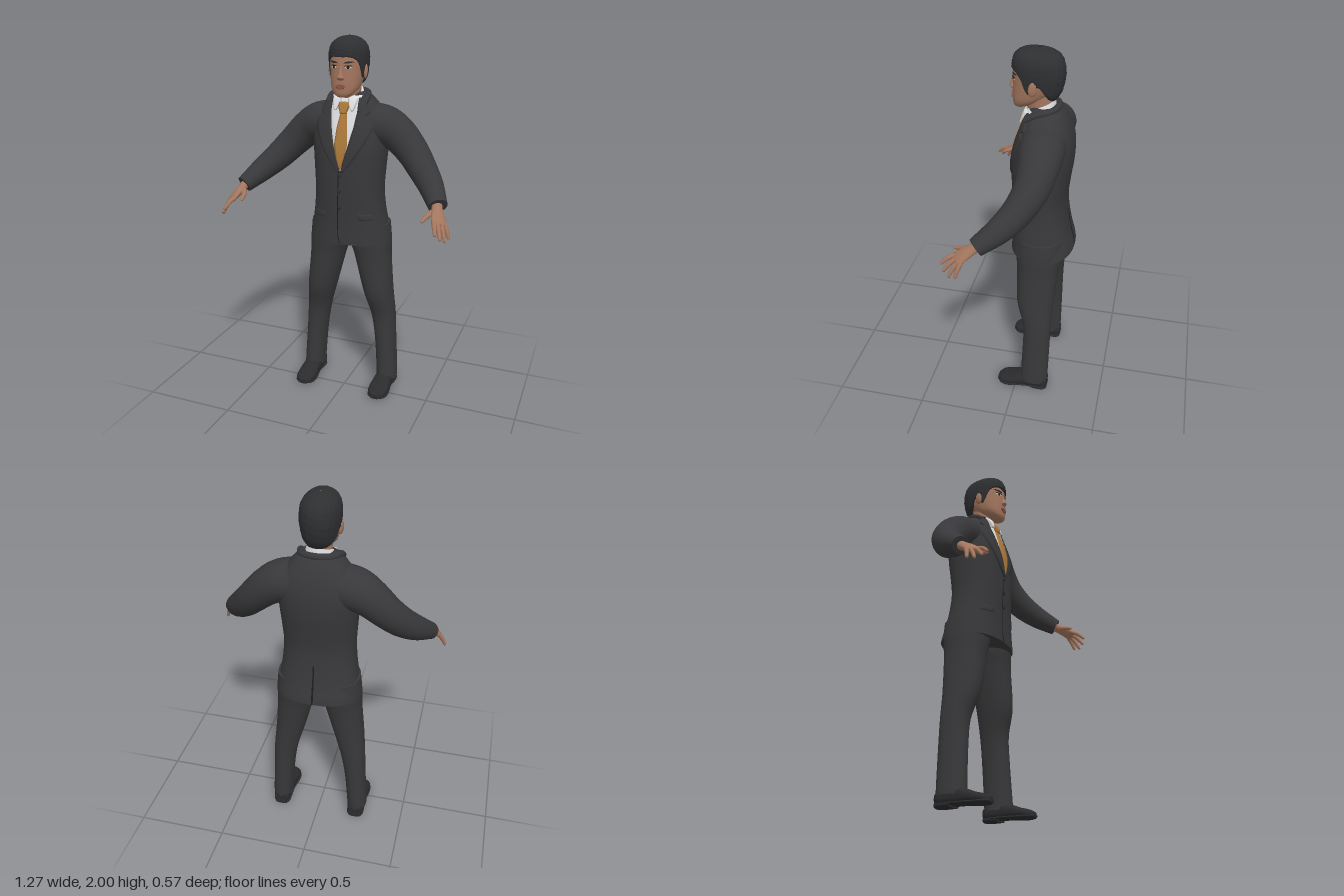
import * as THREE from 'three';

const V = (x, y, z) => new THREE.Vector3(x, y, z);
const mat = (name, color) => new THREE.MeshStandardMaterial({ name, color, side: THREE.DoubleSide });

// Smooth interpolation of table rows at key value t
function spline(rows, keys, t) {
  const n = rows.length;
  let i = 0;
  while (i < n - 2 && t > keys[i + 1]) i++;
  const h = keys[i + 1] - keys[i], f = Math.min(1, Math.max(0, (t - keys[i]) / h));
  const slope = (k, c) => {
    const a = Math.max(0, k - 1), b = Math.min(n - 1, k + 1);
    return (rows[b][c] - rows[a][c]) / (keys[b] - keys[a]);
  };
  const f2 = f * f, f3 = f2 * f;
  return rows[i].map((p, c) => (2 * f3 - 3 * f2 + 1) * p + (f3 - 2 * f2 + f) * h * slope(i, c)
    + (3 * f2 - 2 * f3) * rows[i + 1][c] + (f3 - f2) * h * slope(i + 1, c));
}

// Surface from a grid of points; rows i, columns j
function grid(fn, n, m, wrap, flip) {
  const pos = [], idx = [];
  for (let i = 0; i < n; i++) for (let j = 0; j < m; j++) pos.push(...fn(i, j));
  for (let i = 0; i < n - 1; i++) for (let j = 0; j < (wrap ? m : m - 1); j++) {
    const k = (j + 1) % m, a = i * m + j, b = i * m + k, c = b + m, d = a + m;
    flip ? idx.push(a, c, b, a, d, c) : idx.push(a, b, c, a, c, d);
  }
  const g = new THREE.BufferGeometry();
  g.setAttribute('position', new THREE.Float32BufferAttribute(pos, 3));
  g.setIndex(idx);
  g.computeVertexNormals();
  return g;
}

const oval = (a, n) => [Math.cos(a), Math.sin(a)].map(q => Math.sign(q) * Math.abs(q) ** (2 / n));

// Capped loft through rows [x, y, z, halfWidth, halfDepth]
function loft(rows, { axis, ref = V(0, 0, 1), n = 2, seg = 28, steps = 32, key } = {}) {
  const keys = rows.map((r, i) => key === undefined ? i : r[key]);
  const at = f => spline(rows, keys, keys[0] + (keys.at(-1) - keys[0]) * f);
  return grid((i, j) => {
    const f = Math.min(1, Math.max(0, (i - 2) / steps)), p = at(f);
    const r = i === 0 || i === steps + 4 ? 0 : 1;
    const T = axis ? axis.clone() : V(...at(Math.min(1, f + .02))).sub(V(...at(Math.max(0, f - .02))));
    T.normalize();
    const u = ref.clone().cross(T).normalize(), v = T.clone().cross(u);
    const [c, s] = oval(j / seg * Math.PI * 2, n);
    return V(p[0], p[1], p[2]).addScaledVector(u, c * p[3] * r).addScaledVector(v, s * p[4] * r).toArray();
  }, steps + 5, seg, true, false);
}

// Upright body from rows [y, halfWidth, zBack, zFront]
const upright = table => table.map(([y, w, b, f]) => [0, y, (b + f) / 2, w, (f - b) / 2]);
const TORSO = upright([
  [.9, .226, -.285, .055], [.93, .222, -.28, .054], [1, .211, -.262, .051], [1.1, .196, -.244, .052],
  [1.2, .19, -.236, .055], [1.3, .195, -.245, .055], [1.42, .203, -.26, .052], [1.52, .205, -.26, .032],
  [1.6, .185, -.243, .006], [1.66, .14, -.217, -.012], [1.7, .1, -.19, -.032], [1.715, .08, -.175, -.05]]);
const HEAD = upright([
  [1.697, .026, -.005, .042], [1.71, .048, -.035, .05], [1.74, .07, -.09, .053], [1.78, .081, -.14, .054],
  [1.83, .088, -.17, .052], [1.88, .09, -.18, .05], [1.93, .082, -.165, .038], [1.97, .05, -.12, .0]]);
const HAIR = upright([
  [1.73, .07, -.15, .03], [1.78, .089, -.185, .05], [1.83, .096, -.2, .057], [1.88, .1, -.205, .058],
  [1.93, .096, -.197, .056], [1.965, .08, -.178, .043], [1.985, .056, -.148, .018], [1.995, .034, -.118, -.01], [2, .004, -.08, -.07]]);
const shape = (table, y) => spline(table, table.map(r => r[1]), y);
const depth = (table, n, x, y, side) => {
  const p = shape(table, y);
  return p[2] + side * p[4] * (1 - Math.min(1, Math.abs(x / p[3])) ** n) ** (1 / n);
};

// Thin raised plate that follows a body; rows [y, x0, x1] run downwards
function plate(body, rows, lift, s = 1, side = 1) {
  const sub = 5, m = 9, n = (rows.length - 1) * sub + 3;
  return grid((i, j) => {
    const t = Math.min(n - 3, Math.max(0, i - 1)) / sub, k = Math.min(rows.length - 2, Math.floor(t));
    const [y, x0, x1] = rows[k].map((q, c) => q + (rows[k + 1][c] - q) * (t - k));
    const x = s * (x0 + (x1 - x0) * Math.min(m - 3, Math.max(0, j - 1)) / (m - 3));
    const edge = i === 0 || i === n - 1 || j === 0 || j === m - 1;
    return [x, y, depth(body.table, body.n, x, y, side) + side * (edge ? -.004 : lift)];
  }, n, m, false, s * side > 0);
}

export function createModel() {
  const model = new THREE.Group();
  model.name = 'manInSuit';
  const suit = mat('charcoal suit', 0x38383a), black = mat('black leather', 0x2b2b2d), hairMat = mat('dark hair', 0x2e2f31);
  const skin = mat('skin', 0xa3765e), white = mat('white shirt', 0xdcdde0), gold = mat('gold tie', 0xad7a3c);
  const lipMat = mat('lips', 0x8a5648), dark = mat('dark detail', 0x1f1c1b), eyeMat = mat('eye white', 0xc9bfb8);
  const add = (name, geo, m) => {
    const mesh = new THREE.Mesh(geo, m);
    mesh.name = name;
    model.add(mesh);
    return mesh;
  };
  const ball = (name, m, p, r) => {
    const b = add(name, new THREE.SphereGeometry(1, 20, 14), m);
    b.position.set(...p);
    b.scale.set(...r);
    return b;
  };
  const up = V(0, 1, 0), torso = { table: TORSO, n: 2.4 }, head = { table: HEAD, n: 2.2 };

  // Jacket body, shirt front and tie
  add('jacket', loft(TORSO, { axis: up, n: 2.4, seg: 56, steps: 60, key: 1 }), suit);
  add('shirtFront', plate(torso, [[1.7, -.08, .08], [1.6, -.072, .072], [1.45, -.043, .043], [1.315, -.003, .003]], .004), white);
  add('tieKnot', plate(torso, [[1.668, -.026, .026], [1.65, -.03, .03], [1.61, -.016, .016]], .02), gold);
  add('tie', plate(torso, [[1.615, -.016, .016], [1.54, -.028, .028], [1.45, -.035, .035], [1.38, -.021, .021], [1.325, -.003, .003]], .011), gold);
  add('shirtCollar', loft([[0, 1.65, -.085, .082, .085], [0, 1.685, -.088, .077, .08], [0, 1.717, -.09, .068, .073]],
    { axis: V(0, .93, .37) }), white);

  // Jacket collar wraps behind the neck
  const collarPath = new THREE.CatmullRomCurve3([[-.098, 1.66, -.025], [-.1, 1.693, -.08], [-.072, 1.707, -.15], [0, 1.712, -.176],
    [.072, 1.707, -.15], [.1, 1.693, -.08], [.098, 1.66, -.025]].map(p => V(...p)));
  add('jacketCollar', new THREE.TubeGeometry(collarPath, 48, .017, 12), suit);

  // Front edge, buttons, pockets and rear vent
  add('frontEdge', plate(torso, [[1.31, -.014, -.01], [1.1, -.02, -.016], [.96, -.022, -.018], [.905, -.008, -.004]], .002), dark);
  for (const y of [1.285, 1.2, 1.11]) ball('button', black, [-.008, y, depth(TORSO, 2.4, 0, y, 1) + .003], [.011, .011, .005]);
  add('breastPocket', plate(torso, [[1.53, -.145, -.11], [1.522, -.14, -.105]], .003), black);
  add('rearVent', plate(torso, [[1.12, -.003, .003], [.902, -.005, .005]], .002, 1, -1), dark);

  // Head, neck and face
  add('neck', loft([[0, 1.64, -.1, .066, .07], [0, 1.71, -.085, .06, .07], [0, 1.78, -.075, .062, .07]], { axis: up }), skin);
  add('head', loft(HEAD, { axis: up, n: 2.2, seg: 40, steps: 40, key: 1 }), skin);
  add('nose', loft([[0, 1.785, .045, .016, .012], [0, 1.797, .052, .02, .02], [0, 1.812, .05, .014, .018],
    [0, 1.84, .046, .009, .012], [0, 1.865, .042, .008, .007]], { axis: up, steps: 20 }), skin);
  add('upperLip', plate(head, [[1.764, -.012, .012], [1.757, -.026, .026], [1.754, -.027, .027]], .007), lipMat);
  add('lowerLip', plate(head, [[1.752, -.026, .026], [1.746, -.02, .02], [1.74, -.01, .01]], .006), lipMat);

  // Hair cap: the lower edge follows the hairline around the head
  const line = [[1.9], [1.897], [1.87], [1.79], [1.835], [1.79], [1.752], [1.745]], lineAt = [0, .55, .95, 1.35, 1.65, 2, 2.5, Math.PI];
  add('hair', grid((i, j) => {
    const a = j / 72 * Math.PI * 2, t = Math.max(0, i - 1) / 28;
    const y0 = spline(line, lineAt, Math.min(a, Math.PI * 2 - a))[0];
    const y = y0 + (2 - y0) * Math.sin(t * Math.PI / 2), p = shape(HAIR, y);
    const r = i === 0 ? .8 : 1 + .018 * Math.sin(11 * a + 24 * t) * Math.sin(7 * a - 31 * t);
    const [c, s] = oval(a, 2.15);
    return [s * p[3] * r, y, p[2] + c * p[4] * r];
  }, 30, 72, true, false), hairMat);

  for (const s of [1, -1]) {
    const side = s > 0 ? 'left' : 'right';
    const flip = rows => rows.map(([x, ...r]) => [x * s, ...r]);

    // Lapels and shirt collar points
    add(side + 'Lapel', plate(torso, [[1.69, .072, .094], [1.62, .073, .135], [1.606, .071, .122], [1.596, .069, .122], [1.585, .068, .15],
      [1.545, .063, .162], [1.45, .041, .118], [1.36, .014, .058], [1.305, .002, .012]], .01, s), suit);
    add(side + 'CollarPoint', plate(torso, [[1.69, .02, .068], [1.665, .022, .066], [1.625, .042, .052]], .018, s), white);
    add(side + 'HipPocket', plate(torso, [[1.075, .095, .165], [1.045, .1, .172]], .004, s), suit);

    // Eyes, brows and ears
    add(side + 'Eye', plate(head, [[1.856, .03, .046], [1.85, .02, .056], [1.843, .028, .05]], .002, s), eyeMat);
    add(side + 'Iris', plate(head, [[1.856, .034, .043], [1.85, .032, .045], [1.843, .034, .043]], .0035, s), dark);
    add(side + 'EyeLid', plate(head, [[1.86, .028, .05], [1.855, .019, .058]], .004, s), dark);
    add(side + 'Brow', plate(head, [[1.879, .034, .058], [1.874, .02, .064], [1.869, .016, .04]], .004, s), hairMat);
    const ear = ball(side + 'Ear', skin, [s * .094, 1.822, -.062], [.011, .038, .023]);
    ear.rotation.set(-.15, s * .3, 0);

    // Sleeve
    add(side + 'Sleeve', loft(flip([[.1, 1.55, -.12, .115, .11], [.19, 1.533, -.124, .113, .108], [.265, 1.49, -.124, .1, .097],
      [.34, 1.418, -.106, .088, .086], [.41, 1.342, -.06, .077, .078], [.48, 1.272, .012, .066, .066], [.547, 1.2, .115, .05, .046]]),
    { ref: up, steps: 44 }), suit);

    // Hand: flattened palm, four fingers and a thumb
    const wide = V(.74 * s, -.21, -.64), along = V(.04 * s, -.075, .1).normalize();
    const palmRef = along.clone().cross(wide).normalize();
    add(side + 'Palm', loft(flip([[.535, 1.217, .095, .028, .026], [.548, 1.19, .13, .029, .022], [.563, 1.163, .17, .037, .019],
      [.577, 1.138, .2, .04, .014], [.582, 1.129, .21, .034, .008]]), { ref: palmRef }), skin);
    const tips = [[.58, 1.1, .285], [.602, 1.074, .268], [.62, 1.056, .237], [.63, 1.063, .2]];
    tips.forEach((tip, i) => {
      const k = (i - 1.5) * .02, b = [.575 + .74 * k, 1.142 - .21 * k, .195 - .64 * k];
      const mid = b.map((q, c) => (q + tip[c]) / 2 + (c === 1 ? .008 : 0));
      const near = tip.map((q, c) => q + (mid[c] - q) * .15);
      add(side + 'Finger', loft(flip([[...b, .012, .012], [...mid, .011, .011], [...near, .008, .008], [...tip, .003, .003]]),
        { ref: palmRef, seg: 12, steps: 14 }), skin);
    });
    add(side + 'Thumb', loft(flip([[.545, 1.185, .135, .018, .015], [.52, 1.17, .17, .015, .014], [.506, 1.158, .205, .011, .011],
      [.501, 1.149, .232, .008, .008], [.5, 1.147, .24, .003, .003]]), { ref: palmRef, seg: 12, steps: 16 }), skin);

    // Trouser leg
    add(side + 'TrouserLeg', loft(flip([[.112, 1, -.112, .11, .125], [.117, .9, -.112, .115, .126], [.135, .8, -.108, .1, .114],
      [.17, .6, -.103, .082, .102], [.198, .45, -.119, .068, .079], [.214, .3, -.118, .059, .077], [.228, .1, -.112, .057, .079],
      [.229, .055, -.11, .057, .078]]), { axis: V(0, -1, 0), n: 2.2, steps: 40 }), suit);

    // Shoe upper, sole and heel
    const along_z = { axis: V(0, 0, 1), ref: up, n: 2.6, key: 2 };
    add(side + 'Shoe', loft(flip([[.228, .045, -.188, .035, .03], [.228, .05, -.17, .046, .04], [.227, .052, -.1, .05, .044],
      [.226, .046, -.03, .052, .038], [.225, .035, .03, .056, .027], [.225, .028, .08, .047, .02], [.225, .024, .103, .02, .01]]), along_z), black);
    add(side + 'Sole', loft(flip([[.228, .018, -.19, .032, .007], [.228, .017, -.16, .049, .008], [.226, .017, -.06, .048, .008],
      [.225, .012, .03, .059, .009], [.225, .013, .08, .05, .009], [.225, .016, .106, .022, .007]]), along_z), black);
    add(side + 'Heel', loft(flip([[.228, .011, -.188, .034, .011], [.228, .011, -.165, .048, .011], [.228, .011, -.1, .047, .011]]), along_z), black);
  }
  return model;
}
